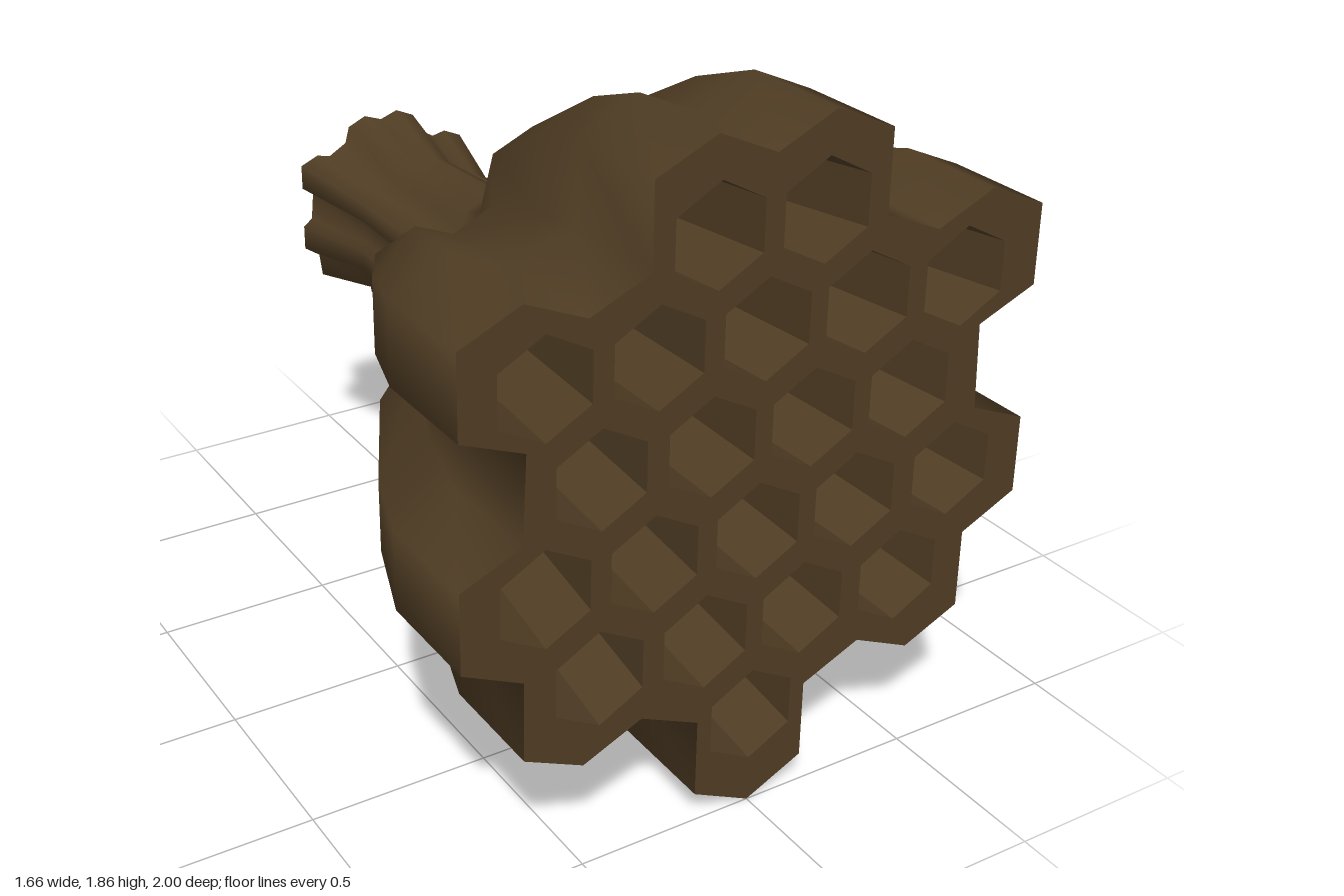
import * as THREE from 'three';

const CY = 0.983; // height of the axis that everything tapers towards

// outline of the cell cluster, counter-clockwise seen from the front
const half = [
  [0.165, 0.08], [0.165, 0.3], [0.333, 0.375], [0.5, 0.3], [0.665, 0.375], [0.665, 0.597],
  [0.83, 0.675], [0.83, 0.893], [0.665, 0.963], [0.655, 1.2], [0.825, 1.27], [0.825, 1.49],
  [0.66, 1.563], [0.495, 1.49], [0.331, 1.56], [0.331, 1.78], [0.163, 1.855],
];
const outline = [
  [0, 0], ...half, [0, 1.78],
  ...half.slice().reverse().map(([x, y]) => [-x, y]),
];

// z, scale, how far the valleys between the lobes are filled
const stations = [
  [1, 1, 0], [0.68, 1, 0], [0.46, 0.913, 0.02], [0.11, 0.694, 0.1],
  [-0.17, 0.346, 0.35], [-0.3, 0.277, 0.45], [-0.72, 0.255, 0.5], [-1, 0.332, 0.5],
];

// centres of the open cells, row by row
const rows = [
  [1.61, [-0.15, 0.15]],
  [1.345, [-0.605, -0.305, -0.005, 0.29, 0.59]],
  [1.075, [-0.455, -0.15, 0.145, 0.44]],
  [0.805, [-0.605, -0.305, -0.005, 0.29, 0.6]],
  [0.535, [-0.455, -0.15, 0.145, 0.45]],
  [0.265, [0]],
];

function ring([, scale, fill]) {
  return outline.map(([x, y]) => {
    const dy = y - CY;
    const r = Math.hypot(x, dy);
    const k = scale * Math.max(r, r + (0.83 - r) * fill) / r;
    return new THREE.Vector2(x * k, CY + dy * k);
  });
}

function hexagon(cx, cy, size = 1) {
  return Array.from({ length: 6 }, (_, i) => {
    const a = Math.PI / 2 + i * Math.PI / 3;
    return new THREE.Vector2(cx + 0.141 * size * Math.cos(a), cy + 0.134 * size * Math.sin(a));
  });
}

// joins rings of equal length, ordered front to back
function loft(rings, zs, inward) {
  const n = rings[0].length;
  const pos = [], index = [];
  rings.forEach((pts, s) => pts.forEach((p) => pos.push(p.x, p.y, zs[s])));
  for (let s = 0; s < rings.length - 1; s++) {
    for (let i = 0; i < n; i++) {
      const a = s * n + i, b = s * n + (i + 1) % n, c = a + n, d = b + n;
      if (inward) index.push(a, b, c, b, d, c);
      else index.push(a, c, b, b, c, d);
    }
  }
  let geo = new THREE.BufferGeometry();
  geo.setAttribute('position', new THREE.Float32BufferAttribute(pos, 3));
  geo.setIndex(index);
  if (inward) geo = geo.toNonIndexed();
  geo.computeVertexNormals();
  return geo;
}

export function createModel() {
  const model = new THREE.Group();
  model.name = 'honeycombHorn';
  const brown = new THREE.MeshStandardMaterial({ color: 0x503d24 });
  brown.name = 'waxBrown';
  const add = (parent, geo, name) => {
    const mesh = new THREE.Mesh(geo, brown);
    mesh.name = name;
    parent.add(mesh);
    return mesh;
  };

  // lobed body narrowing into the neck
  const rings = stations.map(ring);
  add(model, loft(rings, stations.map((s) => s[0]), false), 'lobedBody');

  // flat end of the neck
  const cap = new THREE.ShapeGeometry(
    new THREE.Shape(rings.at(-1).map((p) => new THREE.Vector2(-p.x, p.y))));
  cap.rotateY(Math.PI).translate(0, 0, -1);
  add(model, cap, 'neckEnd');

  // front plate with open cells, each slanting towards the axis
  const plate = new THREE.Shape(rings[0]);
  const cells = new THREE.Group();
  cells.name = 'cells';
  model.add(cells);
  const floorZ = 0.42;
  for (const [y, xs] of rows) {
    for (const x of xs) {
      const mouth = hexagon(x, y);
      const floor = hexagon(x * 0.89, CY + (y - CY) * 0.89, 0.98);
      plate.holes.push(new THREE.Path(mouth));
      add(cells, loft([mouth, floor], [1, floorZ], true), 'cellWalls');
      add(cells, new THREE.ShapeGeometry(new THREE.Shape(floor)).translate(0, 0, floorZ), 'cellFloor');
    }
  }
  add(model, new THREE.ShapeGeometry(plate).translate(0, 0, 1), 'frontPlate');

  return model;
}
